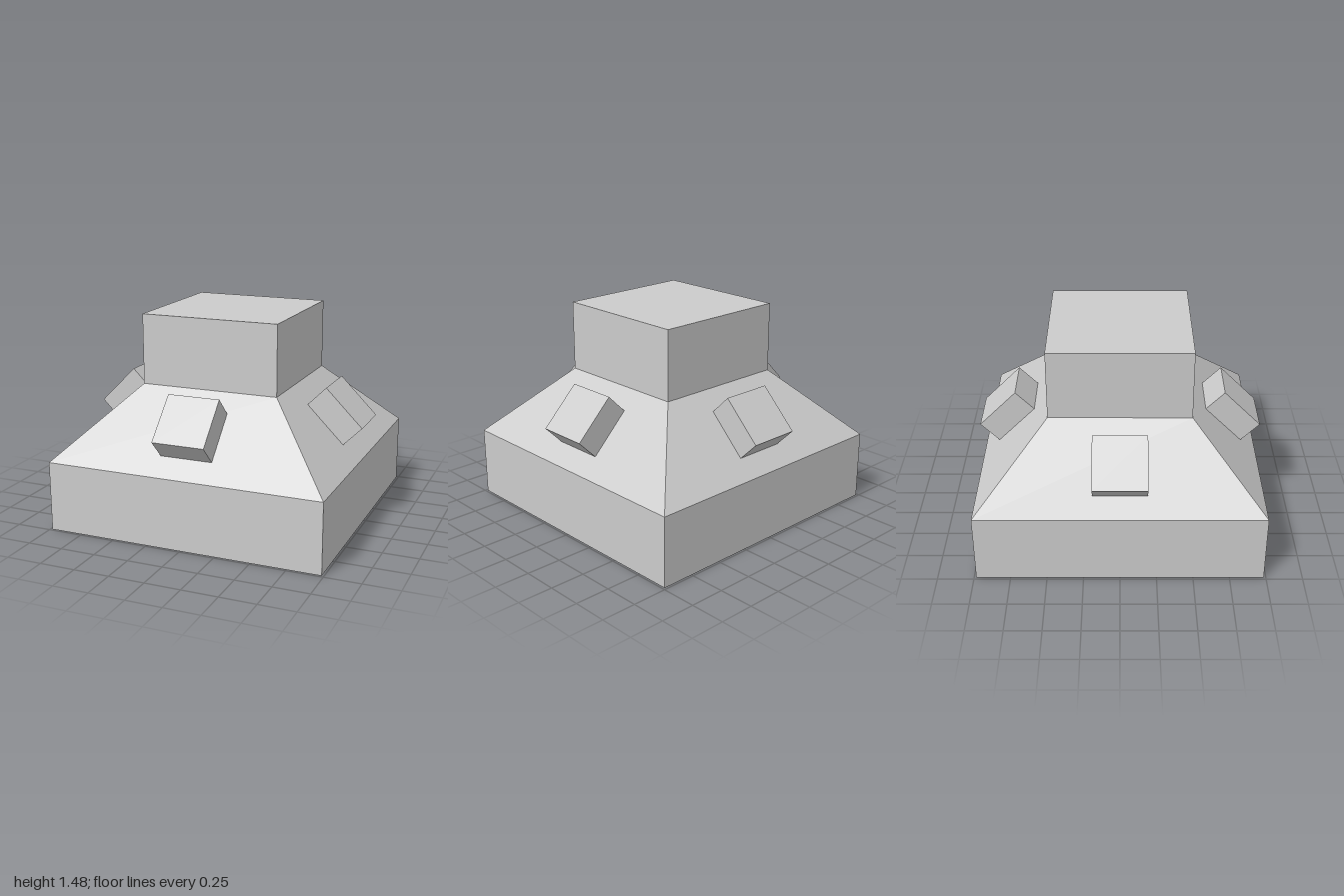
import * as THREE from 'three';

const U = 0.4925; // modular unit: every block is a multiple of this

export function createModel() {
  const model = new THREE.Group();
  model.name = 'steppedBlock';
  const material = new THREE.MeshStandardMaterial({ color: 0xcccccc, flatShading: true });

  const add = (name, geometry, y, parent = model) => {
    const mesh = new THREE.Mesh(geometry, material);
    mesh.name = name;
    mesh.position.y = y;
    parent.add(mesh);
    return mesh;
  };

  // Square plinth
  add('base', new THREE.BoxGeometry(4 * U, U, 4 * U), U / 2);

  // Four-sided sloped shoulder, open where it meets the blocks above and below
  const slope = new THREE.CylinderGeometry(U * Math.SQRT2, 2 * U * Math.SQRT2, U, 4, 1, true);
  slope.rotateY(Math.PI / 4);
  add('slopedShoulder', slope, 1.5 * U);

  // Upper block
  add('topBlock', new THREE.BoxGeometry(2 * U, U, 2 * U), 2.5 * U);

  // One cube half sunk into the middle of each slope, tilted square to it
  const size = 0.75 * U;
  const cube = new THREE.BoxGeometry(size, size, size);
  ['front', 'left', 'back', 'right'].forEach((side, i) => {
    const pivot = new THREE.Group();
    pivot.name = side + 'Stud';
    pivot.rotation.y = i * Math.PI / 2;
    const stud = add(side + 'StudCube', cube, 1.5 * U, pivot);
    stud.position.z = 1.5 * U;
    stud.rotation.x = Math.PI / 4;
    model.add(pivot);
  });

  return model;
}
